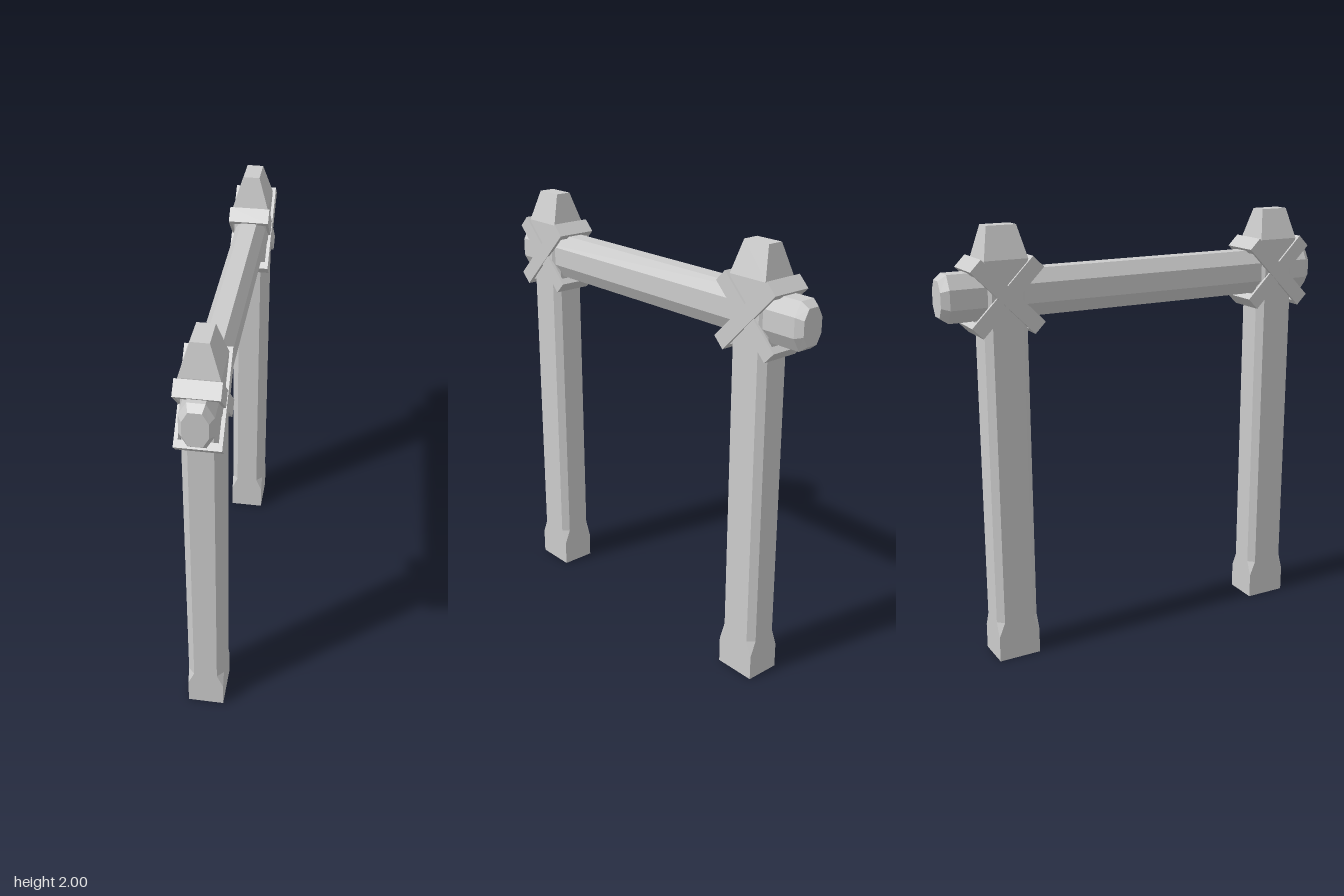
import * as THREE from 'three';

const material = new THREE.MeshStandardMaterial({ color: 0xcccccc, flatShading: true });

// Rectangle with chamfered corners; cx, cz are the chamfer sizes (0 = sharp corner)
function section([y, hx, hz, cx, cz]) {
  const quarter = [[hx, hz - cz], [hx - cx, hz]];
  const points = [];
  for (const [sx, sz, flip] of [[1, 1, 0], [-1, 1, 1], [-1, -1, 0], [1, -1, 1]]) {
    const pair = flip ? [quarter[1], quarter[0]] : quarter;
    for (const [x, z] of pair) points.push(new THREE.Vector3(sx * x, y, sz * z));
  }
  return points;
}

// Closed solid through chamfered sections stacked along y
function loft(levels) {
  const rings = levels.map(section);
  const out = [];
  const tri = (a, b, c) => {
    if (new THREE.Triangle(a, b, c).getArea() > 1e-8) for (const p of [a, b, c]) out.push(p);
  };
  for (let k = 0; k < rings.length - 1; k++) {
    const lo = rings[k], hi = rings[k + 1];
    for (let i = 0; i < 8; i++) {
      const j = (i + 1) % 8;
      tri(lo[i], hi[i], hi[j]);
      tri(lo[i], hi[j], lo[j]);
    }
  }
  const first = rings[0], last = rings[rings.length - 1];
  for (let i = 1; i < 7; i++) {
    tri(first[0], first[i], first[i + 1]);
    tri(last[0], last[i + 1], last[i]);
  }
  const geometry = new THREE.BufferGeometry().setFromPoints(out);
  geometry.computeVertexNormals();
  return geometry;
}

function add(parent, name, geometry) {
  const mesh = new THREE.Mesh(geometry, material);
  mesh.name = name;
  parent.add(mesh);
  return mesh;
}

// Rectangular strap loop around the y axis of its own plane
function strapGeometry(hx, hz) {
  const rect = (target, x, z) => {
    target.moveTo(-x, -z);
    target.lineTo(x, -z);
    target.lineTo(x, z);
    target.lineTo(-x, z);
    target.closePath();
    return target;
  };
  const width = 0.07;
  const shape = rect(new THREE.Shape(), hx, hz);
  shape.holes.push(rect(new THREE.Path(), 0.079, hz - 0.032));
  const geometry = new THREE.ExtrudeGeometry(shape, { depth: width, bevelEnabled: false });
  geometry.translate(0, 0, -width / 2);
  geometry.rotateX(Math.PI / 2);
  return geometry;
}

export function createModel() {
  const model = new THREE.Group();
  model.name = 'postAndBeamFrame';

  // The whole frame stands at an angle to the axes
  const frame = new THREE.Group();
  frame.name = 'frame';
  frame.rotation.y = THREE.MathUtils.degToRad(-15.1);
  model.add(frame);

  // Posts: square foot, chamfered shaft, square head with a tapered tip
  const c = 0.029;
  const postGeometry = loft([
    [0, 0.082, 0.1, 0, 0],
    [0.12, 0.082, 0.1, 0, 0],
    [0.19, 0.082, 0.1, c, c],
    [1.79, 0.082, 0.1, c, c],
    [1.86, 0.082, 0.1, 0, 0],
    [2, 0.037, 0.068, 0, 0],
  ]);
  for (const [side, z] of [['front', 0.737], ['back', -0.665]]) {
    add(frame, side + 'Post', postGeometry).position.set(0.004, 0, z);

    // Two crossed straps lash the beam to the post
    for (const tilt of [1, -1]) {
      const strap = add(frame, side + (tilt > 0 ? 'StrapA' : 'StrapB'),
        strapGeometry(tilt > 0 ? 0.095 : 0.092, 0.2025));
      strap.position.set(0.004, 1.702, z);
      strap.rotation.x = tilt * Math.PI / 4;
    }
  }

  // Crossbeam: chamfered bar with bevelled ends
  const beamGeometry = loft([
    [-0.95, 0.052, 0.078, 0.025, 0.045],
    [-0.915, 0.07, 0.103, 0.034, 0.06],
    [0.915, 0.07, 0.103, 0.034, 0.06],
    [0.945, 0.052, 0.078, 0.025, 0.045],
  ]);
  beamGeometry.rotateX(Math.PI / 2);
  add(frame, 'crossbeam', beamGeometry).position.set(0.005, 1.706, 0);

  return model;
}
